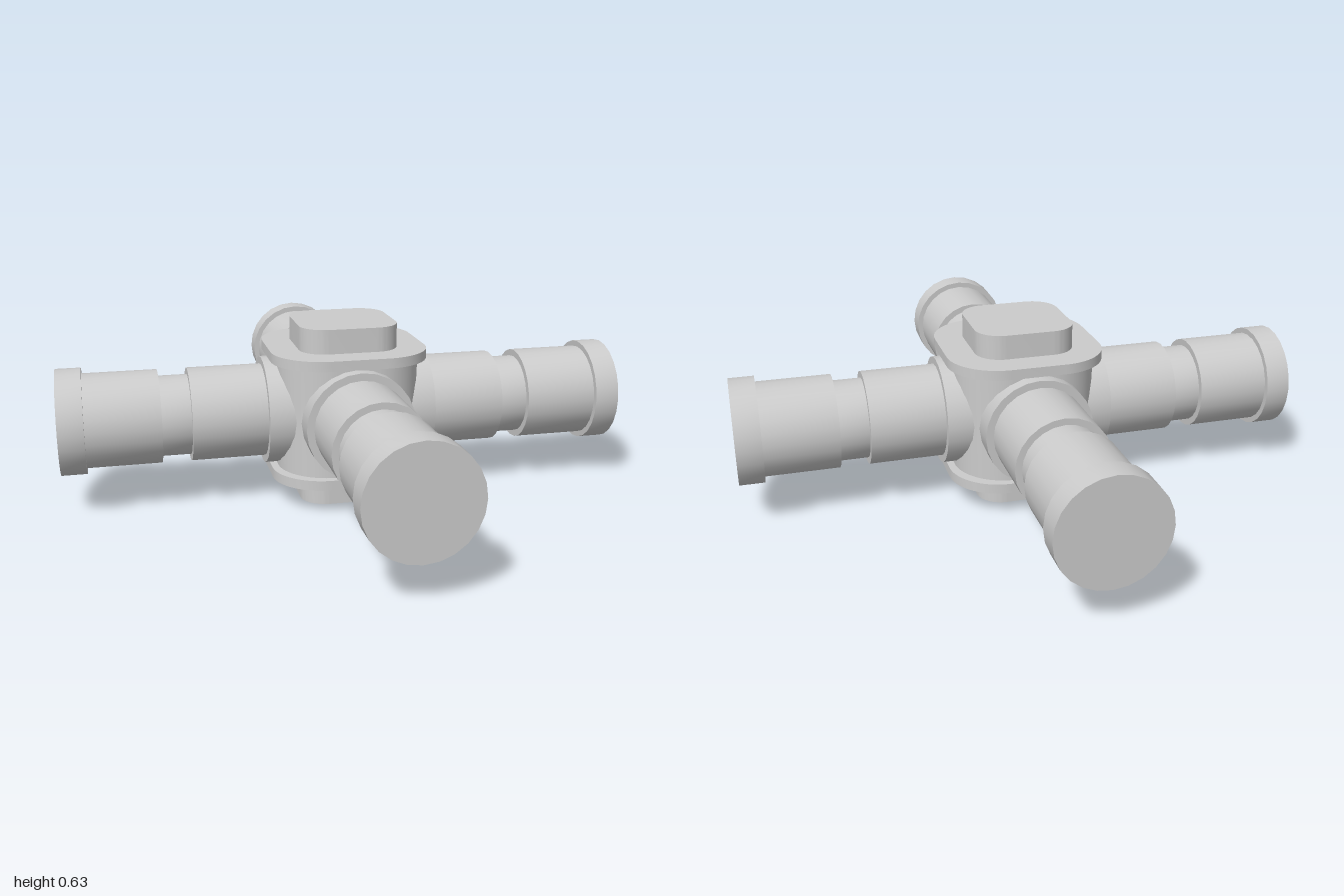
import * as THREE from 'three';
import { toCreasedNormals } from 'three/addons/utils/BufferGeometryUtils.js';

const material = new THREE.MeshStandardMaterial({ color: 0xcccccc });
const CENTER_Y = 0.315;

// Vertical prism with a rounded-square footprint, from y0 to y1
function roundedPrism(name, half, radius, y0, y1) {
  const inner = half - radius;
  const shape = new THREE.Shape();
  shape.absarc(inner, inner, radius, 0, Math.PI / 2);
  shape.absarc(-inner, inner, radius, Math.PI / 2, Math.PI);
  shape.absarc(-inner, -inner, radius, Math.PI, Math.PI * 1.5);
  shape.absarc(inner, -inner, radius, Math.PI * 1.5, Math.PI * 2);
  shape.closePath();
  const geometry = new THREE.ExtrudeGeometry(shape, { depth: y1 - y0, bevelEnabled: false, curveSegments: 10 });
  geometry.rotateX(-Math.PI / 2).translate(0, y0, 0);
  const mesh = new THREE.Mesh(toCreasedNormals(geometry, 0.6), material);
  mesh.name = name;
  return mesh;
}

// Stepped pipe arm pointing along +z: collar, sleeve, groove, sleeve, end cap
function armGeometry() {
  const profile = [
    [0.19, 0.1], [0.19, 0.295],
    [0.164, 0.295], [0.164, 0.555],
    [0.141, 0.555], [0.141, 0.657],
    [0.164, 0.657], [0.164, 0.913],
    [0.184, 0.913], [0.184, 1],
    [0, 1],
  ].map(([r, d]) => new THREE.Vector2(r, d));
  const geometry = new THREE.LatheGeometry(profile, 24).rotateX(Math.PI / 2);
  return toCreasedNormals(geometry, 0.6);
}

export function createModel() {
  const model = new THREE.Group();
  model.name = 'crossJunction';

  // Central hub
  model.add(roundedPrism('hubBody', 0.25, 0.18, 0.1, 0.53));

  // Flanges and end blocks, mirrored above and below
  model.add(roundedPrism('topFlange', 0.275, 0.18, 0.51, 0.545));
  model.add(roundedPrism('bottomFlange', 0.275, 0.18, 0.09, 0.125));
  model.add(roundedPrism('topBlock', 0.174, 0.09, 0.54, 0.63));
  model.add(roundedPrism('bottomBlock', 0.174, 0.09, 0, 0.095));

  // Four identical arms
  const geometry = armGeometry();
  ['frontArm', 'leftArm', 'backArm', 'rightArm'].forEach((name, i) => {
    const arm = new THREE.Mesh(geometry, material);
    arm.name = name;
    arm.position.y = CENTER_Y;
    arm.rotation.y = i * Math.PI / 2;
    model.add(arm);
  });

  return model;
}
